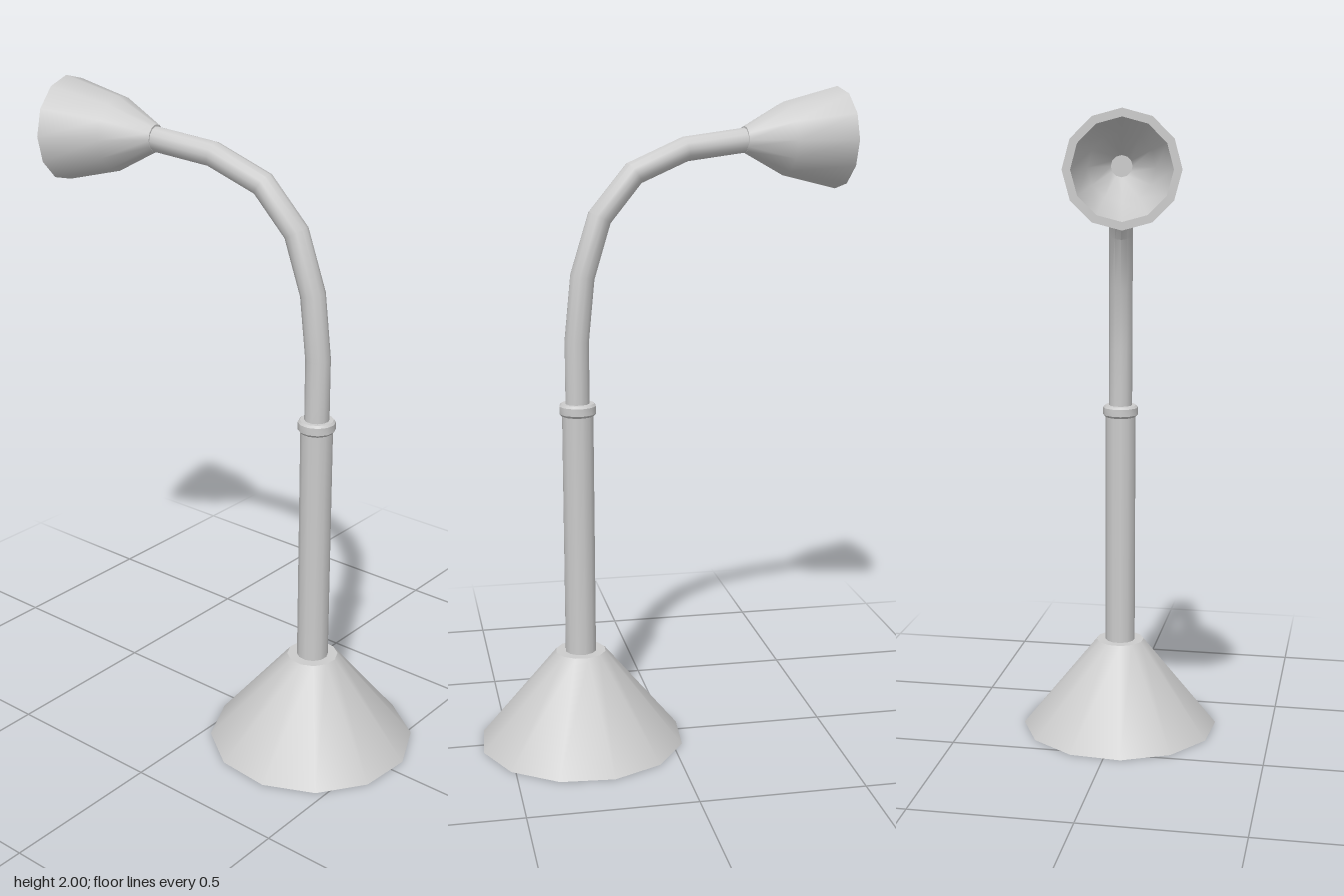
import * as THREE from 'three';
import { toCreasedNormals } from 'three/addons/utils/BufferGeometryUtils.js';

const SIDES = 12;
const CREASE = 0.62;

export function createModel() {
  const material = new THREE.MeshStandardMaterial({ color: 0xcccccc });
  const lamp = new THREE.Group();
  lamp.name = 'deskLamp';

  const add = (name, geometry) => {
    const mesh = new THREE.Mesh(geometry, material);
    mesh.name = name;
    lamp.add(mesh);
    return mesh;
  };
  // Turned part from [radius, height] pairs
  const turned = (profile) => toCreasedNormals(
    new THREE.LatheGeometry(profile.map(([r, y]) => new THREE.Vector2(r, y)), SIDES), CREASE);

  // Conical base with a flat top
  add('base', new THREE.CylinderGeometry(0.078, 0.318, 0.293, SIDES).translate(0, 0.1465, 0));

  // Straight post
  add('post', new THREE.CylinderGeometry(0.048, 0.048, 0.77, SIDES).translate(0, 0.675, 0));

  // Bevelled collar where the post meets the arm
  add('collar', turned([
    [0.03, 1.04], [0.05, 1.04], [0.056, 1.047], [0.056, 1.07], [0.05, 1.077], [0.03, 1.077],
  ]));

  // Bent arm: rows of a cylinder moved onto a path of [forward reach, height]
  const path = [
    [0, 1.05], [0, 1.265], [0.02, 1.455], [0.075, 1.627], [0.183, 1.753], [0.345, 1.82], [0.55, 1.844],
  ].map(([d, y]) => new THREE.Vector3(0, y, -d));
  const last = path.length - 1;
  const arm = new THREE.CylinderGeometry(0.037, 0.037, 1, SIDES, last, true);
  const pos = arm.attributes.position;
  for (let i = 0; i < pos.count; i++) {
    const row = Math.round((pos.getY(i) + 0.5) * last);
    const p = path[row];
    const before = path[Math.max(row - 1, 0)];
    const after = path[Math.min(row + 1, last)];
    const t = after.clone().sub(before).normalize();
    const offset = pos.getZ(i);
    pos.setXYZ(i, pos.getX(i), p.y - t.z * offset, p.z + t.y * offset);
  }
  arm.computeVertexNormals();
  add('arm', toCreasedNormals(arm, CREASE));

  // Hollow shade: outer wall, rim, then inner wall
  const shade = add('shade', turned([
    [0, 0], [0.04, 0], [0.11, 0.129], [0.155, 0.309],
    [0.133, 0.309], [0.092, 0.138], [0.03, 0.025], [0, 0.025],
  ]));
  shade.rotation.x = -Math.PI / 2;
  shade.position.set(0, 1.845, -0.536);

  // The whole lamp is turned slightly and stands toward the front
  lamp.rotation.y = THREE.MathUtils.degToRad(10);
  lamp.position.z = 0.27;

  const model = new THREE.Group();
  model.name = 'model';
  model.add(lamp);
  return model;
}
